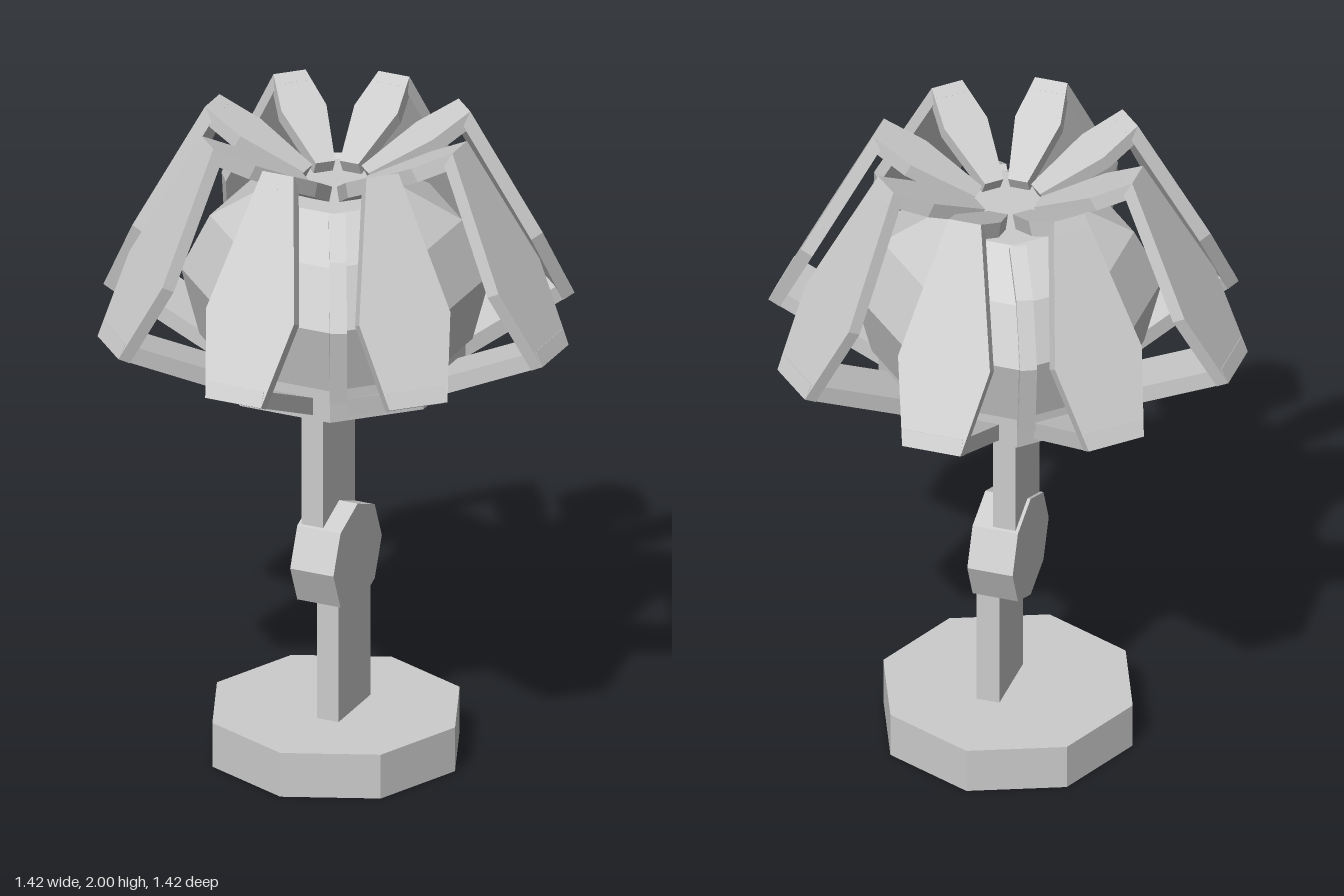
import * as THREE from 'three';

const mat = new THREE.MeshStandardMaterial({ color: 0xcccccc, flatShading: true });

function add(parent, name, geo, x = 0, y = 0, z = 0) {
  const mesh = new THREE.Mesh(geo, mat);
  mesh.name = name;
  mesh.position.set(x, y, z);
  parent.add(mesh);
  return mesh;
}

// Flat plate running from a to b in the (radius, height) plane.
// stations: [fraction along, half width]; the thickness goes to the inner side.
function plate(a, b, stations, thickness) {
  const dir = new THREE.Vector3(b[0] - a[0], b[1] - a[1], 0);
  const len = dir.length();
  dir.normalize();
  const pts = stations.map(([t, w]) => new THREE.Vector2(t * len, w));
  const mirrored = pts.map((p) => new THREE.Vector2(p.x, -p.y)).reverse();
  const geo = new THREE.ExtrudeGeometry(new THREE.Shape([...pts, ...mirrored]), {
    depth: thickness, bevelEnabled: false,
  });
  const width = new THREE.Vector3(0, 0, 1);
  const inward = new THREE.Vector3().crossVectors(dir, width);
  geo.applyMatrix4(new THREE.Matrix4().makeBasis(dir, width, inward).setPosition(a[0], a[1], 0));
  return geo;
}

export function createModel() {
  const model = new THREE.Group();
  model.name = 'lamp';

  // Octagonal foot
  add(model, 'base', new THREE.CylinderGeometry(0.385, 0.385, 0.14, 8), 0, 0.07, 0);

  // Two offset flat posts meeting at an octagonal pivot
  add(model, 'lowerPost', new THREE.BoxGeometry(0.07, 0.5, 0.22), 0.025, 0.38, 0);
  add(model, 'upperPost', new THREE.BoxGeometry(0.07, 0.58, 0.22), -0.025, 0.93, 0);
  const pivot = new THREE.CylinderGeometry(0.167, 0.167, 0.14, 8);
  pivot.rotateZ(Math.PI / 2);
  add(model, 'pivot', pivot, 0, 0.63, 0);

  // Octagonal plate under the head, flat sides facing the axes
  const disc = new THREE.CylinderGeometry(0.38, 0.38, 0.12, 8);
  disc.rotateY(Math.PI / 8);
  add(model, 'headPlate', disc, 0, 1.27, 0);

  // Faceted bulb
  const profile = [[0, 1.32], [0.4, 1.32], [0.455, 1.53], [0.37, 1.7], [0.2, 1.8], [0, 1.8]];
  const bulb = new THREE.LatheGeometry(profile.map(([r, y]) => new THREE.Vector2(r, y)), 8);
  bulb.rotateY(Math.PI / 8);
  add(model, 'bulb', bulb);

  // Two narrow clips on opposite sides of the bulb
  for (let i = 0; i < 2; i++) {
    const clip = new THREE.Group();
    clip.name = 'clip';
    const path = [[0.22, 1.81], [0.375, 1.72], [0.46, 1.53], [0.42, 1.29]];
    for (let k = 0; k < 3; k++) {
      add(clip, 'clipStrip', plate(path[k], path[k + 1], [[0, 0.025], [1, 0.025]], 0.03));
    }
    clip.rotation.y = -THREE.MathUtils.degToRad(64) + i * Math.PI;
    model.add(clip);
  }

  // Eight bent petals: roof arm, shaped outer panel, lower arm
  const hub = [0.09, 1.84], tip = [0.4, 2.0], elbow = [0.71, 1.39], root = [0.33, 1.215];
  const roofArm = plate(hub, tip, [[0, 0.03], [0.6, 0.07], [1, 0.05]], 0.045);
  const panel = plate(tip, elbow, [[0, 0.05], [0.62, 0.142], [1, 0.09]], 0.04);
  const lowerArm = plate(elbow, root, [[0, 0.09], [1, 0.09]], 0.05);
  for (let i = 0; i < 8; i++) {
    const petal = new THREE.Group();
    petal.name = 'petal';
    add(petal, 'roofArm', roofArm);
    add(petal, 'outerPanel', panel);
    add(petal, 'lowerArm', lowerArm);
    petal.rotation.y = (i * Math.PI) / 4;
    model.add(petal);
  }

  return model;
}
